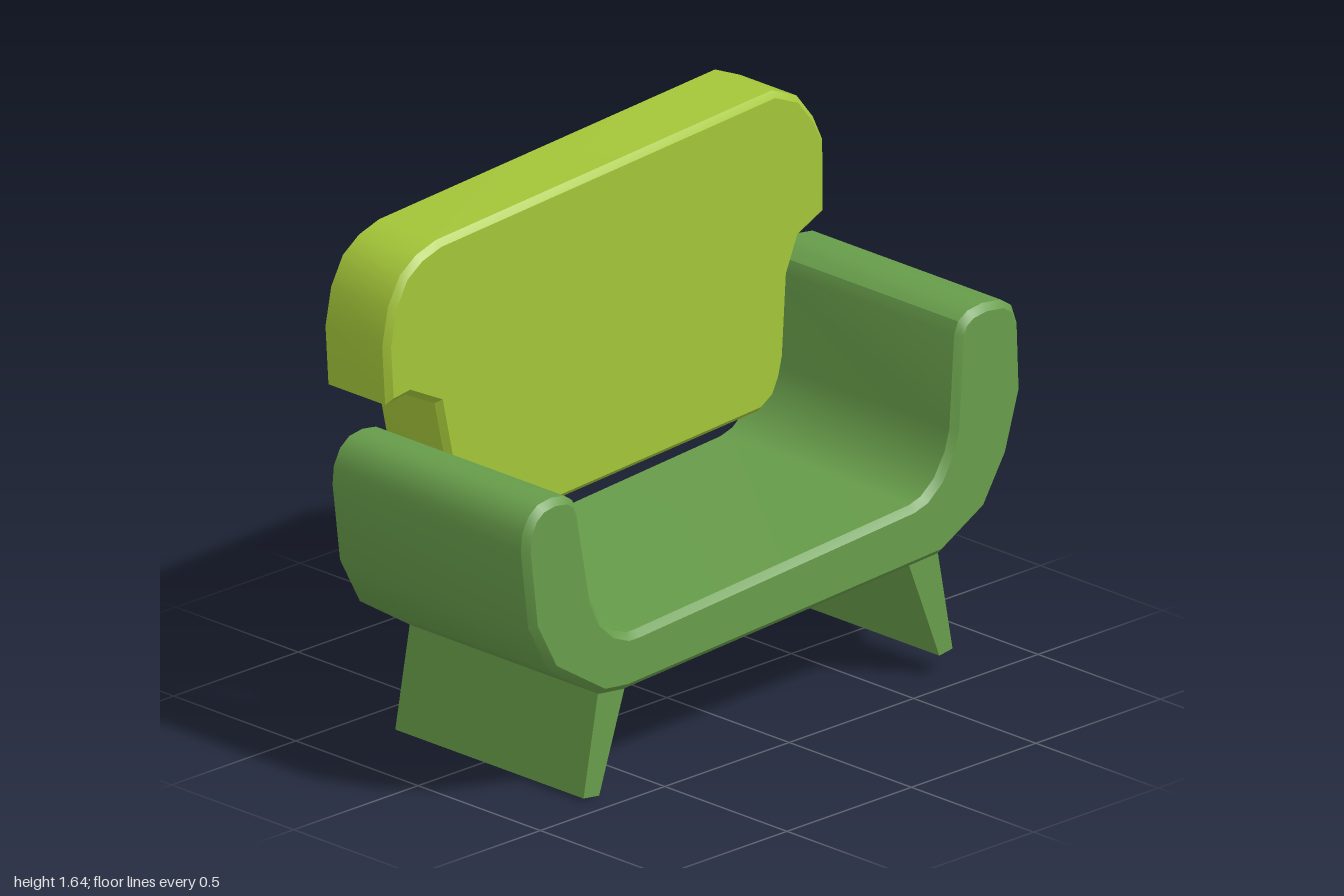
import * as THREE from 'three';
import { toCreasedNormals } from 'three/addons/utils/BufferGeometryUtils.js';

const DARK_GREEN = 0x679c4a;
const LIME = 0xa4c639;

// Moves every corner of a clockwise outline inwards by a fixed distance.
function insetOutline(points, distance) {
  const n = points.length;
  const inward = (a, b) => new THREE.Vector2(b.y - a.y, a.x - b.x).normalize();
  return points.map((p, i) => {
    const n1 = inward(points[(i + n - 1) % n], p);
    const n2 = inward(p, points[(i + 1) % n]);
    const scale = distance / (1 + n1.dot(n2));
    return p.clone().addScaledVector(n1.add(n2), scale);
  });
}

// Hollow shell: a flat front, a bevelled rim and walls running to an open back.
function makeShell(name, color, outline, { front, back, bevel = 0, openLastEdge = false }) {
  const points = outline.map(([x, y]) => new THREE.Vector2(x, y));
  const face = bevel ? insetOutline(points, bevel) : points;
  const rings = [
    { points: face, z: front },
    { points, z: front - bevel },
    { points, z: back },
  ];
  if (!bevel) rings.shift();

  const cap = new THREE.ShapeGeometry(new THREE.Shape(face)).translate(0, 0, front);
  const positions = Array.from(cap.toNonIndexed().attributes.position.array);
  const edges = points.length - (openLastEdge ? 1 : 0);
  for (let r = 0; r < rings.length - 1; r++) {
    for (let i = 0; i < edges; i++) {
      const j = (i + 1) % points.length;
      const corner = (ring, k) => [ring.points[k].x, ring.points[k].y, ring.z];
      const a = corner(rings[r], i), b = corner(rings[r], j);
      const c = corner(rings[r + 1], j), d = corner(rings[r + 1], i);
      positions.push(...a, ...b, ...c, ...a, ...c, ...d);
    }
  }

  const geometry = new THREE.BufferGeometry();
  geometry.setAttribute('position', new THREE.Float32BufferAttribute(positions, 3));
  const material = new THREE.MeshStandardMaterial({ color, side: THREE.DoubleSide });
  const mesh = new THREE.Mesh(toCreasedNormals(geometry, THREE.MathUtils.degToRad(32)), material);
  mesh.name = name;
  return mesh;
}

export function createModel() {
  const model = new THREE.Group();
  model.name = 'sofa';

  // Seat and both arms form one lopsided U
  const seat = [
    // left-hand arm, over the top
    [-1, 0.83], [-0.995, 0.885], [-0.97, 0.933], [-0.933, 0.96], [-0.88, 0.968],
    [-0.826, 0.96], [-0.794, 0.938], [-0.778, 0.896],
    // seat surface
    [-0.725, 0.618], [-0.687, 0.543], [-0.634, 0.495], [-0.58, 0.473], [-0.543, 0.473],
    [0.559, 0.556], [0.607, 0.57], [0.66, 0.612], [0.703, 0.682], [0.722, 0.746],
    // taller arm, over the top
    [0.741, 1.03], [0.757, 1.067], [0.794, 1.09], [0.853, 1.098], [0.928, 1.088],
    [0.97, 1.06], [0.992, 1], [1, 0.8],
    // underside
    [0.944, 0.618], [0.853, 0.473], [0.676, 0.377], [-0.59, 0.302], [-0.687, 0.313],
    [-0.89, 0.441], [-0.97, 0.59],
  ];
  model.add(makeShell('seatAndArms', DARK_GREEN, seat, { front: 0.44, back: -0.35, bevel: 0.02 }));

  // Backrest with shoulders overhanging the arms
  const backrest = [
    [-0.928, 1.093], [-0.94, 1.275], [-0.917, 1.39], [-0.87, 1.475], [-0.805, 1.52],
    [-0.725, 1.545], [0.625, 1.64], [0.725, 1.597], [0.79, 1.515], [0.828, 1.435],
    [0.829, 1.216], [0.725, 1.168], [0.682, 1.067], [0.666, 0.82], [0.65, 0.757],
    [0.623, 0.703], [0.57, 0.67], [-0.538, 0.6], [-0.613, 0.64], [-0.655, 0.71],
    [-0.73, 1.045], [-0.848, 1.104],
  ];
  model.add(makeShell('backrest', LIME, backrest, { front: -0.19, back: -0.44, bevel: 0.018 }));

  // Splayed plank legs, open where they meet the seat
  const legs = {
    rightLeg: [[-0.583, 0.303], [-0.685, 0], [-0.748, 0.008], [-0.69, 0.315]],
    leftLeg: [[0.676, 0.378], [0.735, 0.068], [0.682, 0.06], [0.56, 0.371]],
  };
  for (const [name, outline] of Object.entries(legs)) {
    model.add(makeShell(name, DARK_GREEN, outline, { front: 0.42, back: -0.35, openLastEdge: true }));
  }

  return model;
}
